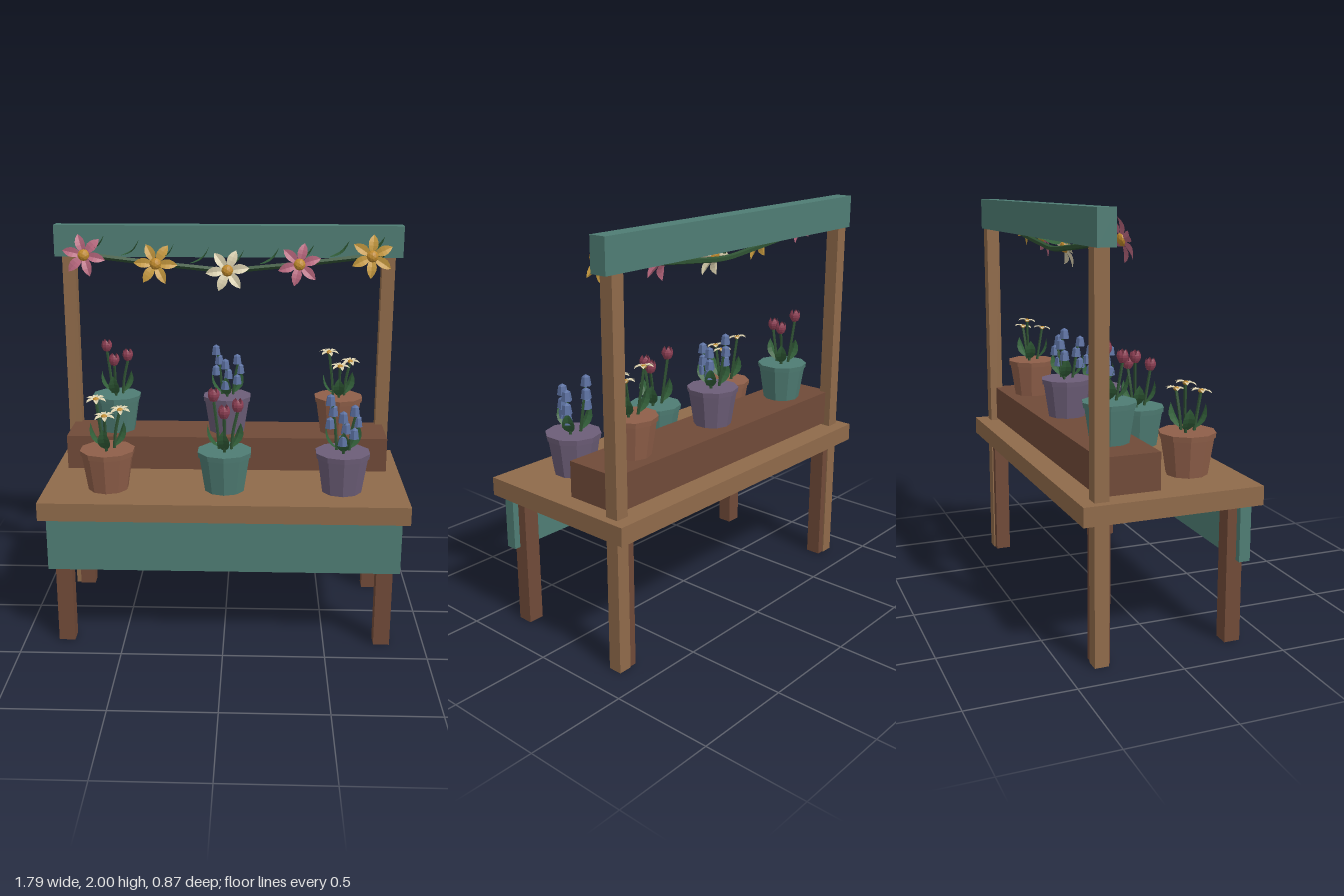
import * as THREE from 'three';

const mat = (color) => new THREE.MeshStandardMaterial({ color, flatShading: true, side: THREE.DoubleSide });
const M = {
  wood: mat(0x8f6a4a), darkWood: mat(0x704a38), teal: mat(0x4f7d74), clay: mat(0x8f5f49),
  purple: mat(0x6d5e78), stem: mat(0x2f5233), leaf: mat(0x33603a), cream: mat(0xd9cfae),
  gold: mat(0xc79a3f), yellow: mat(0xc08a2c), pink: mat(0xb8677e), rose: mat(0x8f4055), blue: mat(0x5a6f9f),
};

function add(parent, name, geo, material, x = 0, y = 0, z = 0) {
  const m = new THREE.Mesh(geo, material);
  m.name = name;
  m.position.set(x, y, z);
  parent.add(m);
  return m;
}

// box given by its lower and upper corners
function box(parent, name, material, [x0, y0, z0], [x1, y1, z1]) {
  return add(parent, name, new THREE.BoxGeometry(x1 - x0, y1 - y0, z1 - z0), material,
    (x0 + x1) / 2, (y0 + y1) / 2, (z0 + z1) / 2);
}

// pointed blade growing along +y, folded along its midrib and arching along z
function blade(len, width, arch = 0, fold = 0.1) {
  const g = new THREE.PlaneGeometry(1, 1, 2, 5);
  const p = g.attributes.position;
  for (let i = 0; i < p.count; i++) {
    const t = p.getY(i) + 0.5;
    const w = Math.pow(Math.sin(Math.PI * Math.min(1, 0.06 + t * 0.94)), 0.8) || 0;
    const x = p.getX(i) * width * w;
    p.setXYZ(i, x, t * len, arch * Math.sin(Math.PI * t) + Math.abs(x) * fold);
  }
  return g;
}

function tube(parent, name, points, radius, material, segments = 8) {
  const curve = new THREE.CatmullRomCurve3(points);
  add(parent, name, new THREE.TubeGeometry(curve, segments, radius, 5), material);
  return curve;
}

// open flower facing +z
function openFlower(material, radius, petals, width, spin, name) {
  const f = new THREE.Group();
  f.name = name;
  for (let i = 0; i < petals; i++) {
    const arm = new THREE.Group();
    arm.rotation.z = spin + (i / petals) * Math.PI * 2;
    add(arm, 'petal', blade(radius * 0.88, width, 0.008, 0.35), material, 0, radius * 0.12, 0);
    f.add(arm);
  }
  const eye = add(f, 'flowerCentre', new THREE.IcosahedronGeometry(radius * 0.27, 1), M.yellow, 0, 0, radius * 0.06);
  eye.scale.z = 0.7;
  return f;
}

function daisyHead() {
  const h = openFlower(M.cream, 0.056, 6, 0.026, 0.2, 'daisy');
  h.rotation.x = -Math.PI / 2 + 0.15;
  return h;
}

function tulipHead() {
  const h = new THREE.Group();
  h.name = 'tulip';
  const profile = [[0, -0.005], [0.02, 0.005], [0.026, 0.025], [0.018, 0.042]].map(([x, y]) => new THREE.Vector2(x, y));
  add(h, 'tulipCup', new THREE.LatheGeometry(profile, 5), M.rose);
  for (let i = 0; i < 5; i++) {
    const arm = new THREE.Group();
    arm.rotation.y = (i / 5) * Math.PI * 2;
    add(arm, 'tulipPetal', blade(0.066, 0.036, 0.012, -0.3), M.rose, 0, 0, 0.016).rotation.x = 0.05;
    h.add(arm);
  }
  return h;
}

function bellHead() {
  const h = new THREE.Group();
  h.name = 'bellCluster';
  for (let i = 0; i < 3; i++) {
    const x = (i % 2 ? 1 : -1) * 0.008;
    add(h, 'bell', new THREE.CylinderGeometry(0.02, 0.027, 0.044, 6), M.blue, x, 0.01 - i * 0.058, -x).rotation.y = i;
    add(h, 'bellTop', new THREE.ConeGeometry(0.02, 0.012, 6), M.blue, x, 0.038 - i * 0.058, -x).rotation.y = i;
  }
  return h;
}

// pot with three stems, each with one head and a leaf
function pottedPlant(name, potMaterial, makeHead) {
  const g = new THREE.Group();
  g.name = name;
  add(g, 'potBody', new THREE.CylinderGeometry(0.128, 0.1, 0.178, 10), potMaterial, 0, 0.089, 0);
  add(g, 'potRim', new THREE.CylinderGeometry(0.137, 0.134, 0.026, 10), potMaterial, 0, 0.19, 0);
  const heads = [[-0.055, 0.44, -0.04], [0.063, 0.39, -0.03], [0, 0.385, 0.068]];
  heads.forEach(([x, y, z], i) => {
    tube(g, 'stem', [
      new THREE.Vector3(x * 0.5, 0.19, z * 0.5),
      new THREE.Vector3(x * 0.65, 0.29, z * 0.75),
      new THREE.Vector3(x, y, z)], 0.008, M.stem);
    const head = makeHead();
    head.position.set(x, y, z);
    g.add(head);
    const arm = new THREE.Group();
    arm.position.set(x * 0.55, 0.215, z * 0.55);
    arm.rotation.y = Math.atan2(x, z) + 0.5 - i * 0.3;
    add(arm, 'leaf', blade(0.125, 0.062, 0.012, 0.25), M.leaf).rotation.x = 0.45;
    g.add(arm);
  });
  return g;
}

export function createModel() {
  const model = new THREE.Group();
  model.name = 'flowerStand';

  // table
  box(model, 'tableTop', M.wood, [-0.895, 0.672, -0.433], [0.895, 0.762, 0.433]);
  box(model, 'frontBoard', M.teal, [-0.862, 0.4, 0.335], [0.862, 0.672, 0.39]);
  box(model, 'planterShelf', M.darkWood, [-0.825, 0.775, -0.335], [0.825, 0.95, -0.045]);
  for (const s of [-1, 1]) {
    const a = Math.min(s * 0.75, s * 0.83), b = Math.max(s * 0.75, s * 0.83);
    box(model, 'frontLeg', M.darkWood, [a, 0, 0.288], [b, 0.672, 0.366]);
    box(model, 'backLeg', M.darkWood, [a, 0, -0.362], [b, 0.672, -0.285]);
    const c = Math.min(s * 0.789, s * 0.856), d = Math.max(s * 0.789, s * 0.856);
    box(model, 'post', M.wood, [c, 0, -0.368], [d, 1.84, -0.3]);
  }
  box(model, 'topBeam', M.teal, [-0.892, 1.84, -0.37], [0.892, 2, -0.284]);

  // potted flowers in two rows
  const daisy = ['daisyPot', M.clay, daisyHead];
  const tulip = ['tulipPot', M.teal, tulipHead];
  const bell = ['bellPot', M.purple, bellHead];
  [daisy, tulip, bell].forEach((kind, i) => {
    const p = pottedPlant(...kind);
    p.position.set((i - 1) * 0.578, 0.762, 0.2);
    model.add(p);
  });
  [tulip, bell, daisy].forEach((kind, i) => {
    const p = pottedPlant(...kind);
    p.scale.setScalar(0.93);
    p.position.set((i - 1) * 0.578, 0.95, -0.19);
    model.add(p);
  });

  // garland: vine, curled leaves and five flowers
  const garland = new THREE.Group();
  garland.name = 'garland';
  model.add(garland);
  const vineY = (x) => 1.78 + 0.075 * Math.pow(Math.abs(x) / 0.73, 1.2);
  const points = [];
  for (let i = -4; i <= 4; i++) points.push(new THREE.Vector3(i * 0.1975, vineY(i * 0.1975), -0.255));
  tube(garland, 'vine', points, 0.014, M.stem, 32);
  for (let i = 0; i < 9; i++) {
    const x = -0.72 + i * 0.177;
    const arm = new THREE.Group();
    arm.position.set(x, vineY(x) + 0.02, -0.24);
    arm.rotation.z = -0.85;
    add(arm, 'vineLeaf', blade(0.125, 0.095, -0.022, 0.12), M.leaf).rotation.y = Math.PI / 2;
    arm.children[0].rotation.y = -Math.PI / 2;
    garland.add(arm);
  }
  [M.pink, M.gold, M.cream, M.pink, M.gold].forEach((m, i) => {
    const x = (i - 2) * 0.363;
    const f = openFlower(m, 0.112, 6, 0.05, 0.3 + i * 0.17, 'garlandFlower');
    f.position.set(x, vineY(x) + 0.004, -0.2);
    f.rotation.x = -0.3;
    garland.add(f);
  });
  return model;
}
